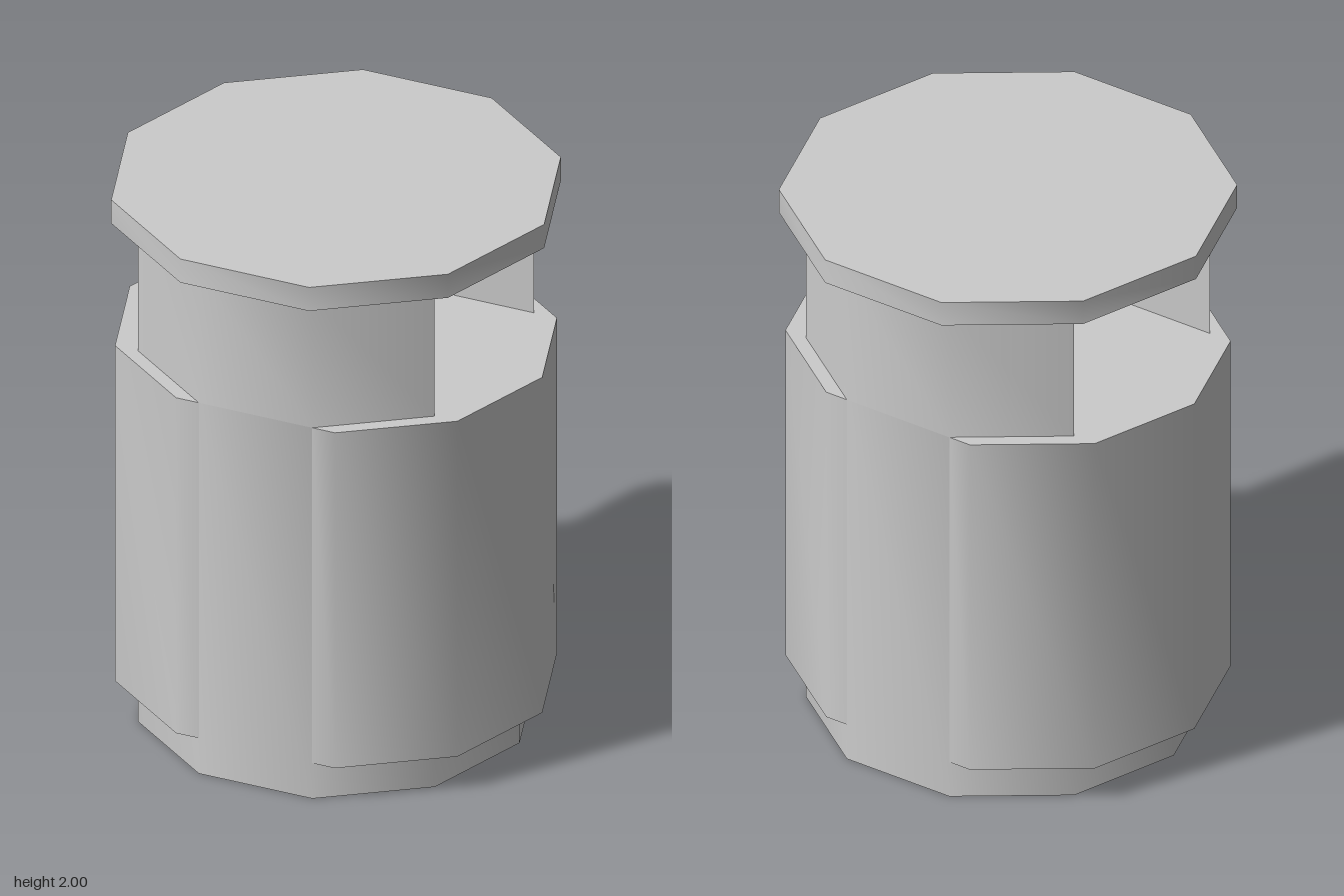
import * as THREE from 'three';
import { toCreasedNormals } from 'three/addons/utils/BufferGeometryUtils.js';

const CORE_R = 0.677, CAP_R = 0.768;
const SHELL_BOTTOM = 0.135, SHELL_TOP = 1.415, NECK_TOP = 1.91, TOP = 2;
const SHELL_SHIFT = 0.084, NOTCH_SHIFT = 0.493;

const material = new THREE.MeshStandardMaterial({ color: 0xcccccc });

// Corner k of the ten-sided outline, as (x, z)
const corner = (k, r = CORE_R) => {
  const a = THREE.MathUtils.degToRad(8 + 36 * k);
  return new THREE.Vector2(r * Math.cos(a), r * Math.sin(a));
};
const decagon = (r) => Array.from({ length: 10 }, (_, k) => corner(k, r));

// Direction in which the shells slide out and the notches cut in
const slide = corner(1, 1).sub(corner(2, 1)).normalize();
const shifted = (k, d) => corner(k).addScaledVector(slide, d);
const opposite = (points) => points.map((p) => p.clone().negate());

// Upright prism over an outline given in (x, z)
function prism(name, outline, y0, y1) {
  const shape = new THREE.Shape(outline.map((p) => new THREE.Vector2(p.x, -p.y)));
  const geometry = new THREE.ExtrudeGeometry(shape, { depth: y1 - y0, bevelEnabled: false });
  geometry.rotateX(-Math.PI / 2).translate(0, y0, 0);
  const mesh = new THREE.Mesh(toCreasedNormals(geometry, 0.72), material);
  mesh.name = name;
  return mesh;
}

export function createModel() {
  const group = new THREE.Group();
  group.name = 'notchedCylinder';

  // Solid lower core and wide cap
  group.add(prism('core', decagon(CORE_R), 0, SHELL_TOP));
  group.add(prism('cap', decagon(CAP_R), NECK_TOP, TOP));

  // Neck: two deep notches on opposite sides leave a thin web
  const halfNeck = [
    corner(0), corner(1), corner(2), corner(3),
    ...opposite([-2, -1, 0].map((k) => shifted(k, -NOTCH_SHIFT))),
  ];
  group.add(prism('neck', [...halfNeck, ...opposite(halfNeck)], SHELL_TOP, NECK_TOP));

  // Side shells: half of the core outline slid outwards, leaving front and back slots
  const ks = [1, 0, -1, -2, -3];
  const shell = [
    ...ks.map((k) => shifted(k, SHELL_SHIFT)),
    ...ks.slice().reverse().map((k) => corner(k)),
  ];
  group.add(prism('leftShell', shell, SHELL_BOTTOM, SHELL_TOP));
  group.add(prism('rightShell', opposite(shell), SHELL_BOTTOM, SHELL_TOP));

  return group;
}
